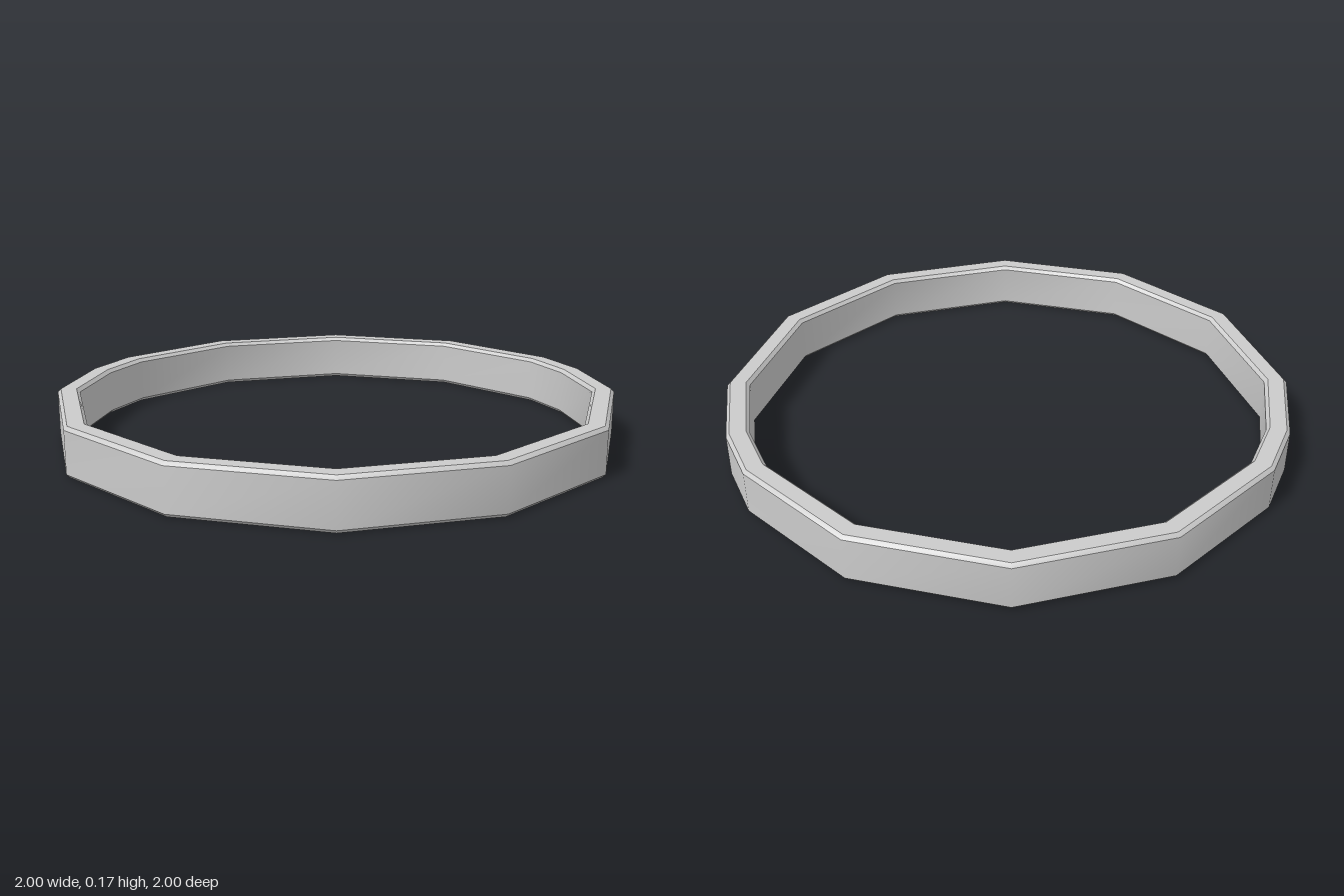
import * as THREE from 'three';
import { mergeGeometries } from 'three/addons/utils/BufferGeometryUtils.js';

// Right half of the ring's outline [x, z], from back to front
const half = [
  [0, -1], [0.5, -0.866], [0.847, -0.535], [0.942, -0.328],
  [1, 0], [0.866, 0.5], [0.5, 0.866], [0, 1],
];
// Full outline: the half plus its mirror image
const outline = [...half, ...half.slice(1, -1).reverse().map(([x, z]) => [-x, z])];

// Chamfered cross-section [radial scale, height], outer wall first
const H = 0.172, C = 0.012, R = 1, r = 0.92;
const section = [
  [R, C], [R, H - C], [R - C, H], [r + C, H],
  [r, H - C], [r, C], [r + C, 0], [R - C, 0],
];

// One band around the ring: smooth along it, sharp at its two edges
function band([s0, y0], [s1, y1]) {
  const n = outline.length;
  const pos = [], idx = [];
  outline.forEach(([x, z], i) => {
    pos.push(x * s0, y0, z * s0, x * s1, y1, z * s1);
    const a = 2 * i, b = 2 * ((i + 1) % n);
    idx.push(a, a + 1, b, b, a + 1, b + 1);
  });
  const g = new THREE.BufferGeometry();
  g.setAttribute('position', new THREE.Float32BufferAttribute(pos, 3));
  g.setIndex(idx);
  g.computeVertexNormals();
  return g;
}

export function createModel() {
  const group = new THREE.Group();
  group.name = 'ring';
  const bands = section.map((p, i) => band(p, section[(i + 1) % section.length]));
  const hoop = new THREE.Mesh(
    mergeGeometries(bands),
    new THREE.MeshStandardMaterial({ color: 0xcccccc }),
  );
  hoop.name = 'hoop';
  group.add(hoop);
  return group;
}
